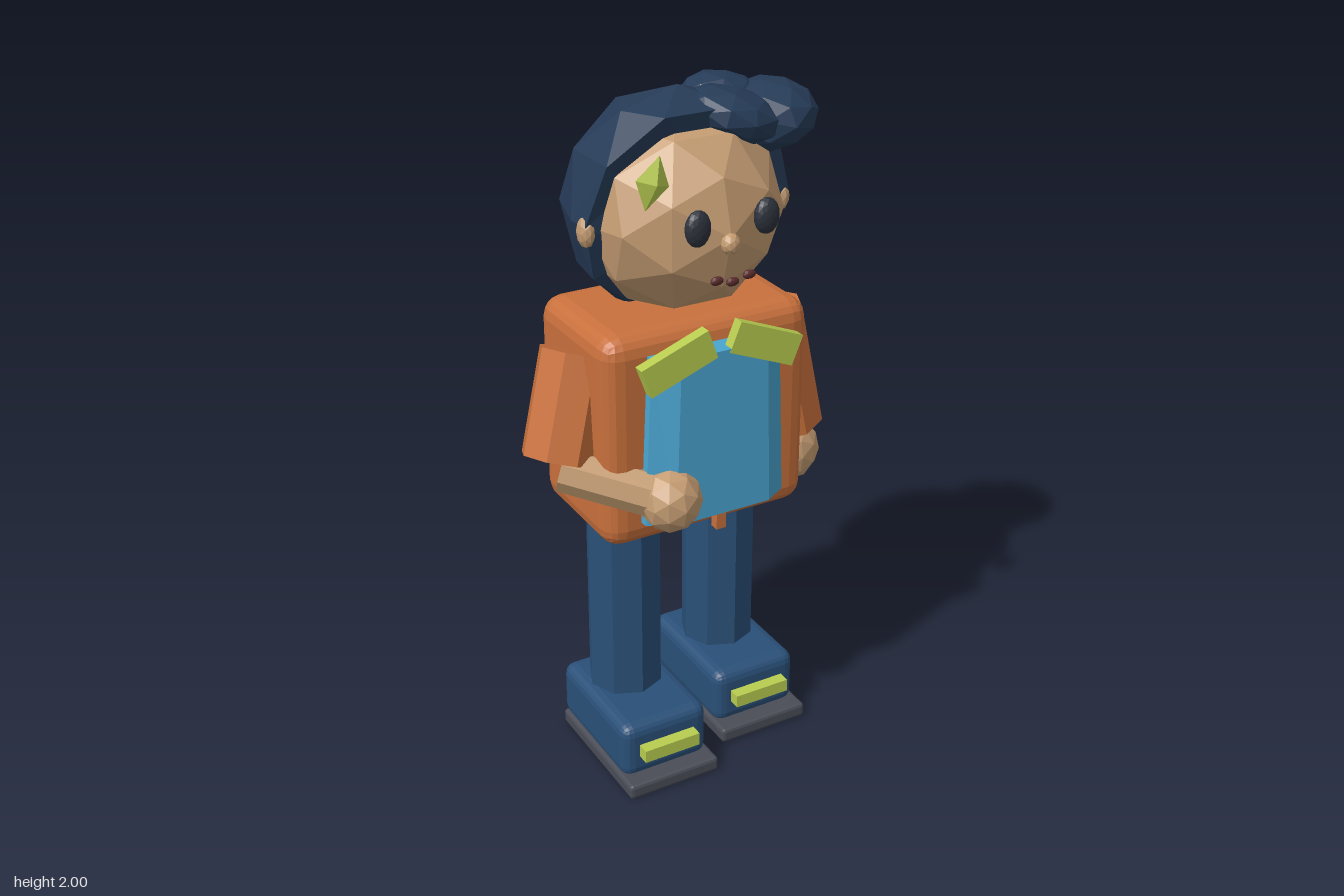
import * as THREE from 'three';
import { RoundedBoxGeometry } from 'three/addons/geometries/RoundedBoxGeometry.js';

const paint = (color) => new THREE.MeshStandardMaterial({ color, flatShading: true });

export function createModel() {
  const model = new THREE.Group();
  model.name = 'figure';
  const skin = paint(0xc49c72), hairBlue = paint(0x263b57), orange = paint(0xc8703c);
  const denim = paint(0x2a5078), cyan = paint(0x4aa5d0), lime = paint(0xb8cc50);
  const rubber = paint(0x4a4d57), dark = paint(0x2c313b), lip = paint(0x5a2c2c);

  const add = (name, geometry, material, x = 0, y = 0, z = 0, tilt = 0) => {
    const mesh = new THREE.Mesh(geometry, material);
    mesh.name = name;
    mesh.position.set(x, y, z);
    mesh.rotation.z = tilt;
    model.add(mesh);
    return mesh;
  };
  const ball = (rx, ry, rz, detail = 1) => new THREE.IcosahedronGeometry(1, detail).scale(rx, ry, rz);
  const box = (w, h, d) => new THREE.BoxGeometry(w, h, d);
  // Eight-sided limb between two points
  const limb = (name, material, radius, from, to) => {
    const a = new THREE.Vector3(...from), b = new THREE.Vector3(...to);
    const dir = b.clone().sub(a);
    const mesh = add(name, new THREE.CylinderGeometry(radius, radius, dir.length(), 8), material);
    mesh.position.copy(a).add(b).multiplyScalar(0.5);
    mesh.quaternion.setFromUnitVectors(new THREE.Vector3(0, -1, 0), dir.normalize());
  };

  // Legs and shoes, the right one a step ahead
  for (const [side, x, step] of [['right', -0.19, 0.1], ['left', 0.18, 0]]) {
    limb(side + 'Leg', denim, 0.112, [x, 0.8, step * 0.85 - 0.075], [x, 0.18, step * 0.85 - 0.075]);
    add(side + 'Shoe', new RoundedBoxGeometry(0.28, 0.18, 0.41, 2, 0.035), denim, x, 0.12, step - 0.037);
    add(side + 'Sole', new RoundedBoxGeometry(0.295, 0.045, 0.445, 1, 0.01), rubber, x, 0.0225, step - 0.002);
    add(side + 'ShoeStrap', box(0.18, 0.04, 0.04), lime, x, 0.125, step + 0.185);
  }

  // Jacket
  add('jacket', new RoundedBoxGeometry(0.65, 0.64, 0.42, 2, 0.06), orange, -0.003, 1.08, -0.02);

  // Shirt front: bevelled section extruded upwards, narrower at the top
  const section = new THREE.Shape([
    [-0.225, -0.15], [-0.225, -0.215], [-0.15, -0.258], [0.15, -0.258], [0.22, -0.215], [0.22, -0.15],
  ].map((p) => new THREE.Vector2(...p)));
  const shirt = new THREE.ExtrudeGeometry(section, { depth: 0.5, bevelEnabled: false }).rotateX(-Math.PI / 2);
  const sp = shirt.attributes.position;
  for (let i = 0; i < sp.count; i++) sp.setX(i, sp.getX(i) * (1 - 0.2 * sp.getY(i)));
  shirt.computeVertexNormals();
  add('shirtFront', shirt, cyan, 0, 0.84, 0);
  add('zip', box(0.03, 0.5, 0.03), orange, -0.005, 1.04, 0.24);
  add('rightCollar', box(0.215, 0.09, 0.034), lime, -0.14, 1.33, 0.242, 0.35);
  add('leftCollar', box(0.215, 0.09, 0.034), lime, 0.13, 1.33, 0.242, -0.39);

  // Arms
  limb('leftSleeve', orange, 0.11, [0.3, 1.296, -0.02], [0.386, 0.915, -0.02]);
  add('leftHand', ball(0.093, 0.098, 0.07), skin, 0.4, 0.815, -0.015);
  limb('rightSleeve', orange, 0.11, [-0.3, 1.29, -0.03], [-0.395, 1.01, 0.03]);
  limb('rightForearm', skin, 0.066, [-0.4, 0.995, 0.06], [-0.17, 0.925, 0.235]);
  add('rightHand', ball(0.09, 0.095, 0.09), skin, -0.16, 0.92, 0.24);

  // Head and face
  add('head', ball(0.29, 0.285, 0.29), skin, 0, 1.665, -0.01);
  for (const s of [-1, 1]) {
    const side = s < 0 ? 'right' : 'left';
    add(side + 'Eye', ball(0.037, 0.05, 0.025, 2), dark, s * 0.103, 1.71, 0.283);
    add(side + 'Ear', ball(0.024, 0.045, 0.032), skin, s * 0.3, 1.66, 0.04);
    add(side + 'Lip', ball(0.02, 0.013, 0.01), lip, s * 0.049, 1.56, 0.29);
  }
  add('middleLip', ball(0.02, 0.013, 0.01), lip, -0.003, 1.55, 0.292);
  add('nose', ball(0.027, 0.03, 0.025), skin, -0.003, 1.65, 0.28);

  // Hair: a ball cut flat in front along a bent hairline
  const R = 0.32, hair = ball(R, R, R), hp = hair.attributes.position, v = new THREE.Vector3();
  for (let i = 0; i < hp.count; i++) {
    v.fromBufferAttribute(hp, i);
    const limit = 0.07 + 0.3 * Math.max(0, v.y - 0.08) + 0.7 * Math.min(0, v.y + 0.1);
    if (v.z <= limit) continue;
    const spread = v.z < 0.75 * R ? Math.sqrt(R * R - limit * limit) / Math.hypot(v.x, v.y) : 1;
    hp.setXYZ(i, v.x * spread, v.y * spread, limit);
  }
  hair.computeVertexNormals();
  add('hair', hair, hairBlue, 0, 1.68, -0.006);

  // Quiff swept to the left
  add('quiffFront', ball(0.15, 0.075, 0.135), hairBlue, 0.14, 1.91, 0.035, -0.3);
  add('quiffTip', ball(0.14, 0.095, 0.16), hairBlue, 0.27, 1.885, 0.0, 0.15);
  add('quiffBack', ball(0.12, 0.07, 0.11), hairBlue, 0.18, 1.925, -0.08, -0.2);

  // Hair clip
  add('hairClip', new THREE.OctahedronGeometry(1, 0).scale(0.05, 0.073, 0.025), lime, -0.21, 1.835, 0.24, -0.3);

  return model;
}
